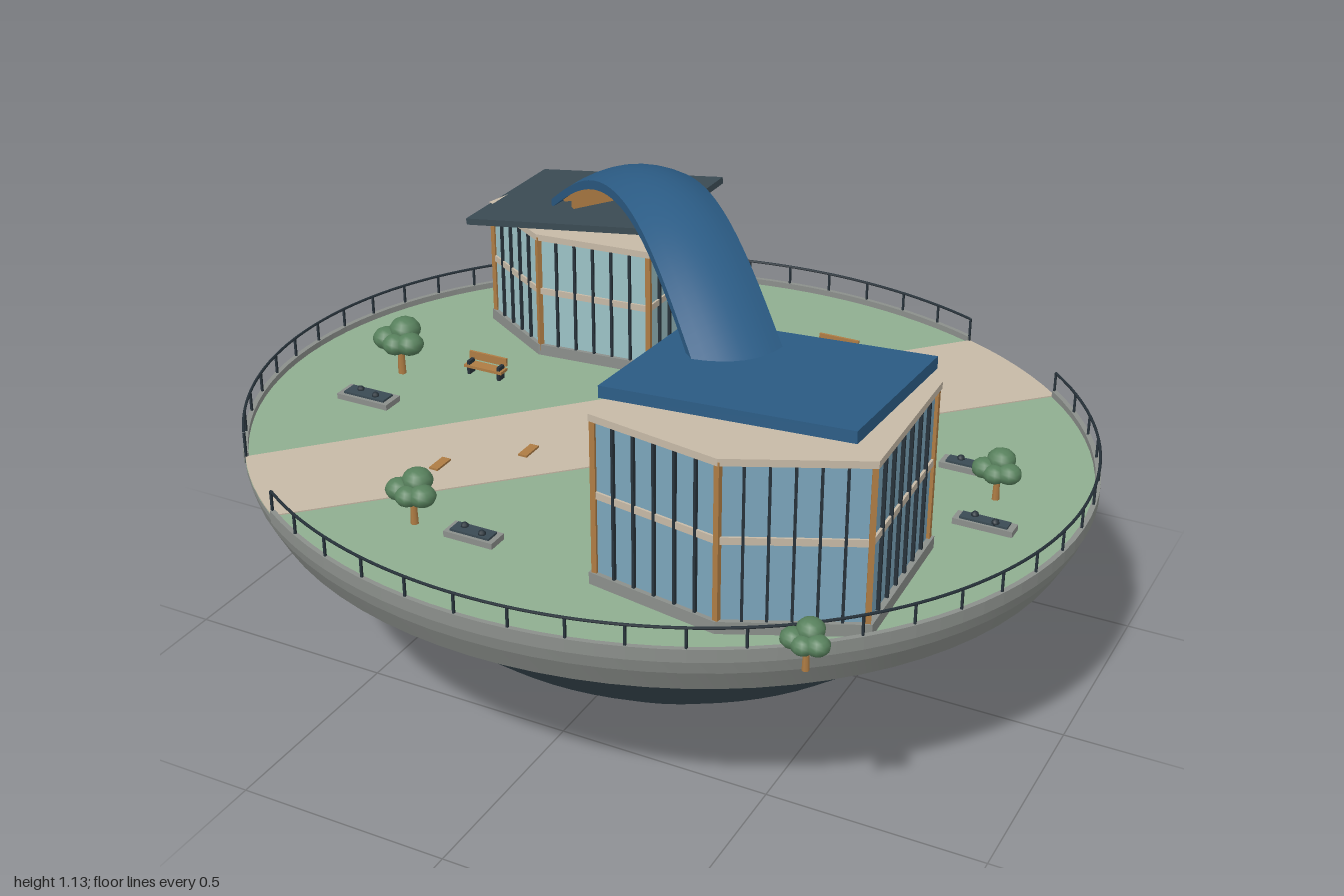
import * as THREE from 'three';
import { toCreasedNormals } from 'three/addons/utils/BufferGeometryUtils.js';

const paint = (name, color, side = THREE.FrontSide) => {
  const m = new THREE.MeshStandardMaterial({ color, side });
  m.name = name;
  return m;
};
const GROUND = 0.518, RZ = 0.9, RAD = Math.PI / 180;

export function createModel() {
  const lawn = paint('lawn green', 0x8fae90, THREE.DoubleSide);
  const sand = paint('sand beige', 0xc6b9a6);
  const slate = paint('dark slate', 0x3a4a53, THREE.DoubleSide);
  const stone = paint('stone grey', 0x8b8f8b, THREE.DoubleSide);
  const blue = paint('roof blue', 0x2b5b84);
  const glassBlue = paint('blue glass', 0x7ba5bb);
  const glassTeal = paint('teal glass', 0x9cc2c6);
  const wood = paint('wood', 0xae7c44);
  const leaf = paint('leaf green', 0x57805c);
  const iron = paint('dark iron', 0x27323a);

  const model = new THREE.Group();
  const add = (name, geo, mat, x = 0, y = 0, z = 0, parent = model) => {
    const mesh = new THREE.Mesh(geo, mat);
    mesh.name = name;
    mesh.position.set(x, y, z);
    parent.add(mesh);
    return mesh;
  };
  const box = (name, w, h, d, mat, x, y, z, parent) => add(name, new THREE.BoxGeometry(w, h, d), mat, x, y, z, parent);
  const group = (name, x = 0, y = 0, z = 0) => {
    const g = new THREE.Group();
    g.name = name;
    g.position.set(x, y, z);
    model.add(g);
    return g;
  };
  // Horizontal slab with an [x, z] outline, its upper face at y
  const slab = (name, pts, h, mat, y, parent) => {
    const shape = new THREE.Shape(pts.map(([x, z]) => new THREE.Vector2(x, z)));
    const geo = new THREE.ExtrudeGeometry(shape, { depth: h, bevelEnabled: false }).rotateX(Math.PI / 2);
    return add(name, geo, mat, 0, y, 0, parent);
  };
  const rimPoint = (deg, r = 1) => [r * Math.cos(deg * RAD), r * RZ * Math.sin(deg * RAD)];

  // Oval bowl, open underneath, with a stone rim
  const ring = (name, profile, mat) => {
    const geo = new THREE.LatheGeometry(profile.map(([r, y]) => new THREE.Vector2(r, y)), 80);
    geo.scale(1, 1, RZ);
    return add(name, toCreasedNormals(geo, 0.12), mat);
  };
  ring('bowl', [[0.37, 0], [0.6, 0.15], [0.8, 0.31], [0.955, 0.415]], slate);
  ring('rim', [[0.955, 0.415], [0.985, 0.47], [0.995, 0.505], [0.995, GROUND]], stone);
  add('lawn', new THREE.CircleGeometry(0.995, 80).rotateX(-Math.PI / 2).scale(1, 1, RZ), lawn, 0, GROUND, 0);

  // Diagonal path ending at the two gaps in the railing
  const pathEdge = [];
  for (let i = 0; i <= 6; i++) pathEdge.push(rimPoint(-63 + i * 3.5, 0.994));
  for (let i = 0; i <= 6; i++) pathEdge.push(rimPoint(125.6 + i * 2.9, 0.994));
  slab('path', pathEdge, 0.006, sand, GROUND + 0.003);
  for (const [x, z] of [[0.28, -0.28], [0.105, -0.125], [-0.08, 0.085], [-0.235, 0.225], [-0.38, 0.37]])
    box('pathMarker', 0.022, 0.006, 0.055, wood, x, GROUND + 0.005, z);

  // Curb, handrail and posts on both sides of the path
  for (const [from, to] of [[143, 297], [-42, 125.6]]) {
    const n = 48, rail = [], outer = [], inner = [];
    for (let i = 0; i <= n; i++) {
      const a = from + (to - from) * i / n;
      const [x, z] = rimPoint(a, 0.992);
      rail.push(new THREE.Vector3(x, 0.58, z));
      outer.push(rimPoint(a, 0.998));
      inner.unshift(rimPoint(a, 0.986));
      if (i % 2 === 0) box('railPost', 0.005, 0.075, 0.005, iron, x, 0.543, z);
    }
    add('handrail', new THREE.TubeGeometry(new THREE.CatmullRomCurve3(rail), 96, 0.0035, 5), iron);
    slab('curb', [...outer, ...inner], 0.03, stone, 0.533);
  }

  // Glazed building on a polygon plan, listed in order
  const building = (name, plan, top, glass, bandY) => {
    const g = group(name);
    const cx = plan.reduce((s, p) => s + p[0], 0) / plan.length;
    const cz = plan.reduce((s, p) => s + p[1], 0) / plan.length;
    const grow = k => plan.map(([x, z]) => [cx + (x - cx) * k, cz + (z - cz) * k]);
    slab('glassWalls', grow(0.97), top - GROUND, glass, top, g);
    slab('plinth', grow(1.015), 0.03, stone, GROUND + 0.028, g);
    slab('roofSlab', grow(1.005), 0.016, sand, top + 0.008, g);
    const walls = grow(0.975), h = top - GROUND, mid = GROUND + h / 2;
    walls.forEach(([ax, az], i) => {
      const [bx, bz] = walls[(i + 1) % walls.length];
      const len = Math.hypot(bx - ax, bz - az), turn = -Math.atan2(bz - az, bx - ax);
      box('midBand', len, 0.016, 0.008, sand, (ax + bx) / 2, bandY, (az + bz) / 2, g).rotation.y = turn;
      box('cornerPost', 0.012, h, 0.012, wood, ax, mid, az, g).rotation.y = turn;
      const count = Math.max(1, Math.round(len / 0.05));
      for (let k = 1; k < count; k++) {
        const t = k / count;
        box('mullion', 0.006, h, 0.012, iron, ax + (bx - ax) * t, mid, az + (bz - az) * t, g).rotation.y = turn;
      }
    });
    return g;
  };
  const large = building('largePavilion',
    [[0.165, 0.2], [0.73, 0.2], [0.745, 0.57], [0.47, 0.7], [0.165, 0.65]], 0.9, glassBlue, 0.727);
  const small = building('smallPavilion',
    [[-0.63, -0.615], [-0.2, -0.615], [-0.17, -0.57], [-0.178, -0.26], [-0.475, -0.235], [-0.685, -0.365]],
    0.832, glassTeal, 0.69);

  // Tilted roofs
  box('largeRoof', 0.55, 0.026, 0.42, blue, 0.44, 0.941, 0.4, large).rotation.set(-0.06, 0, 0.055);
  box('smallRoof', 0.52, 0.016, 0.385, slate, -0.4225, 0.865, -0.4375, small).rotation.z = 0.132;

  // Entrance at the back of the large pavilion
  box('canopy', 0.225, 0.014, 0.085, slate, 0.378, 0.713, 0.16, large);
  box('door', 0.09, 0.15, 0.008, wood, 0.378, 0.62, 0.2, large);
  for (const x of [0.285, 0.47]) box('canopyPost', 0.012, 0.19, 0.012, wood, x, 0.612, 0.135, large);
  for (let i = 0; i < 3; i++)
    box('step', 0.12, 0.011 * (i + 1), 0.022, sand, 0.378, GROUND + 0.0055 * (i + 1), 0.145 + i * 0.022, large);
  for (let i = 0; i < 9; i++) box('backFin', 0.008, 0.36, 0.012, wood, 0.2 + i * 0.0625, 0.72, 0.201, large);

  // Arched roof bridge: a curved shell swept along the diagonal
  const bridge = group('archBridge');
  const arch = s => 0.905 + 0.23 * Math.cos(Math.PI / 2 * s) + (s > 0 ? 0.035 * s * s : 0);
  const steps = 40, across = 8, loop = (across + 1) * 2, pos = [], idx = [];
  for (let i = 0; i <= steps; i++) {
    const s = i / steps * 2 - 1, c = s < 0 ? s * 0.44 : s * 0.38;
    for (let j = 0; j < loop; j++) {
      const upper = j <= across;
      const u = (upper ? j : loop - 1 - j) / across * 2 - 1;
      const w = u * 0.098 * Math.SQRT1_2;
      pos.push(c + w, arch(s) - 0.028 * u * u - (upper ? 0 : 0.022), c - w);
    }
  }
  for (let i = 0; i < steps; i++)
    for (let j = 0; j < loop; j++) {
      const a = i * loop + j, c = i * loop + (j + 1) % loop;
      idx.push(a, a + loop, c, a + loop, c + loop, c);
    }
  for (let j = 0; j < across; j++) {
    const e = steps * loop, p = j, q = j + 1, r = loop - 2 - j, t = loop - 1 - j;
    idx.push(p, q, r, p, r, t, e + p, e + r, e + q, e + p, e + t, e + r);
  }
  const shell = new THREE.BufferGeometry();
  shell.setAttribute('position', new THREE.Float32BufferAttribute(pos, 3));
  shell.setIndex(idx);
  add('archShell', toCreasedNormals(shell, 0.6), blue, 0, 0, 0, bridge);
  // Wooden slats under the arch
  for (let i = 0; i < 25; i++) {
    const s = -0.9 + i * 0.07, c = s < 0 ? s * 0.44 : s * 0.38;
    box('slat', 0.165, 0.014, 0.012, wood, c, arch(s) - 0.04, c, bridge).rotation.y = Math.PI / 4;
  }
  box('archFoot', 0.12, 0.05, 0.02, wood, -0.4, 0.89, -0.4, bridge).rotation.y = Math.PI / 4;

  // Trees: x, z, size
  for (const [x, z, k] of [[-0.72, 0.01, 1.15], [0.78, -0.06, 0.95], [-0.29, 0.61, 1.02], [0.68, 0.735, 0.88], [-0.74, -0.685, 0.9]]) {
    const tree = group('tree', x, GROUND, z);
    tree.scale.setScalar(k);
    add('trunk', new THREE.CylinderGeometry(0.006, 0.009, 0.08, 7), wood, 0, 0.04, 0, tree);
    for (const [bx, by, bz, r] of [[-0.03, 0.078, 0.006, 0.03], [0.03, 0.078, 0.01, 0.03], [0, 0.075, 0.02, 0.028], [0.002, 0.096, -0.016, 0.034]])
      add('foliage', new THREE.SphereGeometry(r, 10, 8).scale(1, 0.8, 1), leaf, bx, by, bz, tree);
  }

  // Wooden benches
  for (const [x, z] of [[0.19, -0.555], [-0.53, -0.07]]) {
    const bench = group('bench', x, GROUND, z);
    box('seat', 0.105, 0.007, 0.03, wood, 0, 0.022, 0, bench);
    box('backrest', 0.105, 0.02, 0.006, wood, 0, 0.041, -0.014, bench);
    for (const s of [-1, 1]) box('benchLeg', 0.008, 0.036, 0.024, iron, s * 0.042, 0.018 - 0.001, 0, bench);
  }

  // Low stone tables with small dark domes
  for (const [x, z, w, d] of [[0.685, -0.16, 0.135, 0.042], [0.8, 0.065, 0.135, 0.038], [-0.71, 0.17, 0.14, 0.058], [-0.145, 0.605, 0.12, 0.05]]) {
    const table = group('stoneBlock', x, GROUND, z);
    box('blockBase', w, 0.014, d, stone, 0, 0.007, 0, table);
    box('blockTop', w * 0.8, 0.005, d * 0.7, slate, 0, 0.0165, 0, table);
    for (const s of [-1, 1]) add('dome', new THREE.SphereGeometry(0.009, 8, 6), iron, s * 0.025, 0.02, s * 0.006, table);
  }
  return model;
}
